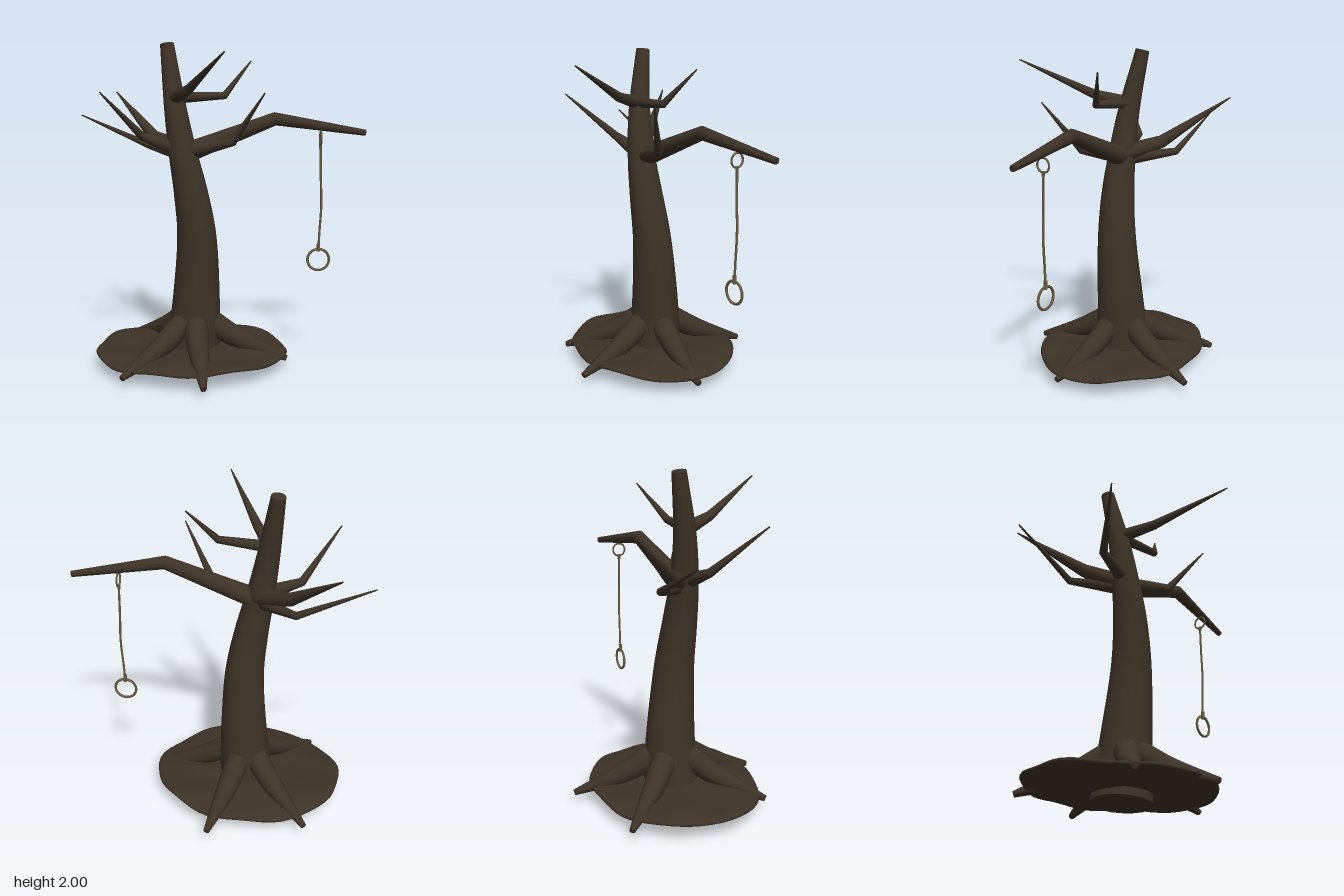
import * as THREE from 'three';
import { mergeVertices, toCreasedNormals } from 'three/addons/utils/BufferGeometryUtils.js';

const bark = new THREE.MeshStandardMaterial({ color: 0x3d3226 });
bark.name = 'bark';
const rope = new THREE.MeshStandardMaterial({ color: 0x685a3c });
rope.name = 'rope';

// Tapered limb through [x, y, z, radius] points; steps > 0 smooths the path.
function limbGeometry(points, sides = 14, steps = 0) {
  let pts = points.map(p => new THREE.Vector3(p[0], p[1], p[2]));
  let radii = points.map(p => p[3]);
  if (steps) {
    const path = new THREE.CatmullRomCurve3(pts, false, 'catmullrom');
    const size = new THREE.CatmullRomCurve3(radii.map(r => new THREE.Vector3(r, 0, 0)), false, 'catmullrom');
    pts = path.getPoints(steps);
    radii = size.getPoints(steps).map(v => v.x);
  }
  const position = [], index = [], n = pts.length;
  const turn = new THREE.Quaternion();
  let last = new THREE.Vector3(0, 1, 0);
  for (let i = 0; i < n; i++) {
    const into = pts[i].clone().sub(pts[Math.max(i - 1, 0)]).normalize();
    const out = pts[Math.min(i + 1, n - 1)].clone().sub(pts[i]).normalize();
    const tangent = into.add(out).normalize();
    turn.premultiply(new THREE.Quaternion().setFromUnitVectors(last, tangent));
    last = tangent;
    for (let j = 0; j < sides; j++) {
      const a = j / sides * Math.PI * 2;
      const v = new THREE.Vector3(Math.sin(a), 0, Math.cos(a)).multiplyScalar(radii[i]);
      v.applyQuaternion(turn).add(pts[i]);
      position.push(v.x, v.y, v.z);
      if (i === n - 1) continue;
      const p = i * sides + j, q = i * sides + (j + 1) % sides;
      index.push(p, q, q + sides, p, q + sides, p + sides);
    }
  }
  // end caps
  const start = n * sides, top = (n - 1) * sides;
  position.push(...pts[0].toArray(), ...pts[n - 1].toArray());
  for (let j = 0; j < sides; j++) {
    const k = (j + 1) % sides;
    index.push(start, k, j, start + 1, top + j, top + k);
  }
  const geo = new THREE.BufferGeometry();
  geo.setAttribute('position', new THREE.Float32BufferAttribute(position, 3));
  geo.setIndex(index);
  return toCreasedNormals(geo, 0.65);
}

// Uneven flattened mound of earth under the roots
function moundGeometry() {
  let geo = new THREE.SphereGeometry(1, 56, 20);
  geo.deleteAttribute('uv');
  geo.deleteAttribute('normal');
  geo = mergeVertices(geo, 1e-4);
  const p = geo.attributes.position;
  for (let i = 0; i < p.count; i++) {
    const x = p.getX(i), y = p.getY(i), z = p.getZ(i);
    const a = Math.atan2(z, x), rho = Math.hypot(x, z);
    const edge = 1 + 0.012 * Math.sin(5 * a + 1) + 0.008 * Math.sin(9 * a);
    const wave = 0.011 * rho * Math.sin(3 * a + 4 * rho) + 0.007 * rho * Math.sin(7 * a - 6 * rho);
    const thick = Math.sign(y) * Math.pow(Math.abs(y), 0.75) * 0.036;
    p.setXYZ(i, x * 0.597 * edge, thick + wave, z * 0.497 * edge);
  }
  geo.computeVertexNormals();
  return geo;
}

export function createModel() {
  const group = new THREE.Group();
  const add = (name, geo, material, x = 0, y = 0, z = 0) => {
    const mesh = new THREE.Mesh(geo, material);
    mesh.name = name;
    mesh.position.set(x, y, z);
    group.add(mesh);
    return mesh;
  };

  // Trunk leaning and tapering upward
  add('trunk', limbGeometry([
    [-0.185, 0.015, -0.04, 0.176], [-0.16, 0.36, -0.037, 0.152],
    [-0.15, 0.8, -0.01, 0.123], [-0.185, 1.1, 0.01, 0.104],
    [-0.235, 1.36, 0.012, 0.085], [-0.28, 1.64, -0.008, 0.066],
    [-0.327, 1.995, -0.07, 0.042],
  ], 24, 30), bark);

  // Bent bare branches: base, elbow, tip
  const branches = {
    swingBranch: [[-0.2, 1.35, 0, 0.062], [0.325, 1.55, -0.02, 0.041], [0.88, 1.463, -0.067, 0.019]],
    lowRightBranch: [[-0.2, 1.35, 0.02, 0.045], [0.07, 1.42, 0.1, 0.025], [0.25, 1.71, 0.255, 0.004]],
    highRightBranch: [[-0.27, 1.675, 0, 0.034], [0.02, 1.69, 0.03, 0.023], [0.18, 1.895, -0.095, 0.004]],
    highFrontBranch: [[-0.29, 1.67, -0.01, 0.042], [-0.19, 1.725, 0.2, 0.029], [0.022, 1.93, 0.615, 0.004]],
    frontLeftBranch: [[-0.23, 1.36, 0.02, 0.05], [-0.475, 1.45, 0.045, 0.026], [-0.682, 1.715, 0.29, 0.004]],
    backLeftBranch: [[-0.21, 1.36, 0, 0.062], [-0.42, 1.43, -0.165, 0.04], [-0.695, 1.7, -0.49, 0.004]],
    outerLeftBranch: [[-0.22, 1.33, 0, 0.044], [-0.46, 1.37, -0.245, 0.023], [-0.886, 1.56, -0.25, 0.004]],
  };
  for (const [name, points] of Object.entries(branches)) add(name, limbGeometry(points), bark);

  // Roots spreading from the trunk to their tips
  const tips = [[0.41, 0.05], [-0.095, 0.55], [-0.58, 0.395], [-0.58, -0.48], [0, -0.61]];
  for (const [x, z] of tips) {
    const at = (t, y, r) => [-0.17 + (x + 0.17) * t, y, -0.035 + (z + 0.035) * t, r];
    add('root', limbGeometry([at(0.17, 0.285, 0.075), at(0.5, 0.17, 0.063), at(1, 0.062, 0.018)], 14, 8), bark);
  }

  add('mound', moundGeometry(), bark, -0.19, 0.1, -0.03);

  // Hanging rope: loop round the branch, cord, knots and ring
  const rx = 0.605, rz = -0.04;
  add('ropeLoop', new THREE.TorusGeometry(0.041, 0.006, 8, 28), rope, rx, 1.432, rz).rotation.y = Math.PI / 2;
  const cord = new THREE.CatmullRomCurve3([
    [rx, 1.395, rz], [rx + 0.005, 1.2, rz], [rx + 0.012, 1.02, rz], [rx + 0.004, 0.85, rz], [rx, 0.745, rz],
  ].map(p => new THREE.Vector3(...p)));
  add('cord', new THREE.TubeGeometry(cord, 24, 0.007, 8), rope);
  add('upperKnot', new THREE.CylinderGeometry(0.009, 0.009, 0.03, 10), rope, rx, 1.385, rz);
  add('lowerKnot', new THREE.CylinderGeometry(0.011, 0.011, 0.05, 10), rope, rx, 0.752, rz);
  add('ring', new THREE.TorusGeometry(0.067, 0.008, 8, 36), rope, rx, 0.675, rz);

  return group;
}
